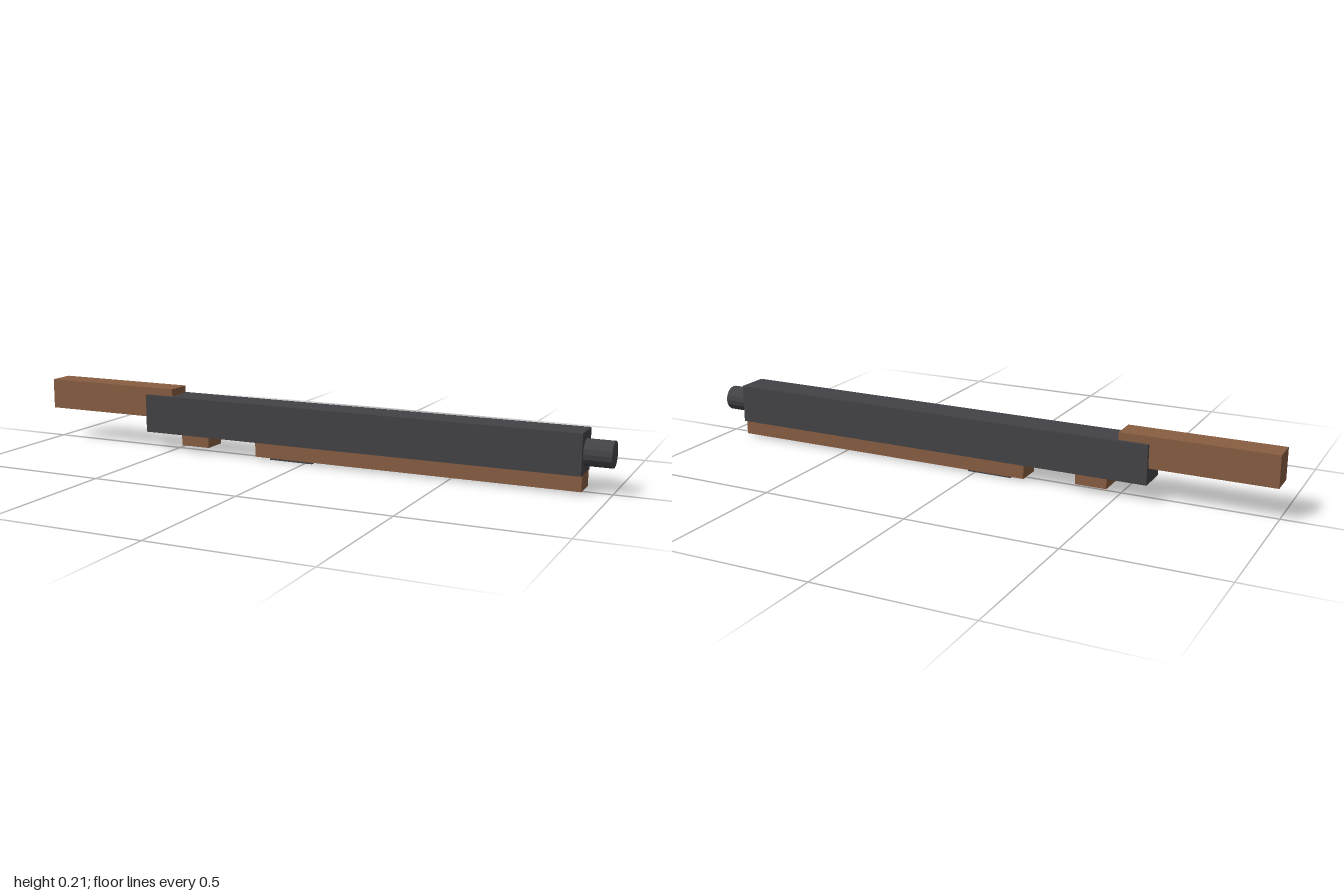
import * as THREE from 'three';

export function createModel() {
  const group = new THREE.Group();
  const metal = new THREE.MeshStandardMaterial({ name: 'dark metal', color: 0x434246, flatShading: true });
  const wood = new THREE.MeshStandardMaterial({ name: 'brown wood', color: 0x885d41, flatShading: true });

  // Box from its x and y limits and its half depth
  function block(name, material, x0, x1, y0, y1, halfDepth) {
    const mesh = new THREE.Mesh(new THREE.BoxGeometry(x1 - x0, y1 - y0, halfDepth * 2), material);
    mesh.position.set((x0 + x1) / 2, (y0 + y1) / 2, 0);
    mesh.name = name;
    group.add(mesh);
  }

  block('body', metal, -0.6, 0.915, 0.06, 0.19, 0.055);
  block('rearStock', wood, -1, -0.5, 0.112, 0.215, 0.044);
  block('foreGrip', wood, -0.18, 0.915, 0.01, 0.062, 0.042);
  block('rearGrip', wood, -0.465, -0.36, 0.022, 0.062, 0.042);
  block('bottomPlate', metal, -0.13, 0.025, 0.002, 0.012, 0.032);

  // Round tip at the +x end
  const tip = new THREE.Mesh(new THREE.CylinderGeometry(0.042, 0.042, 0.1, 16), metal);
  tip.rotation.z = -Math.PI / 2;
  tip.position.set(0.95, 0.124, 0);
  tip.name = 'tip';
  group.add(tip);

  return group;
}
